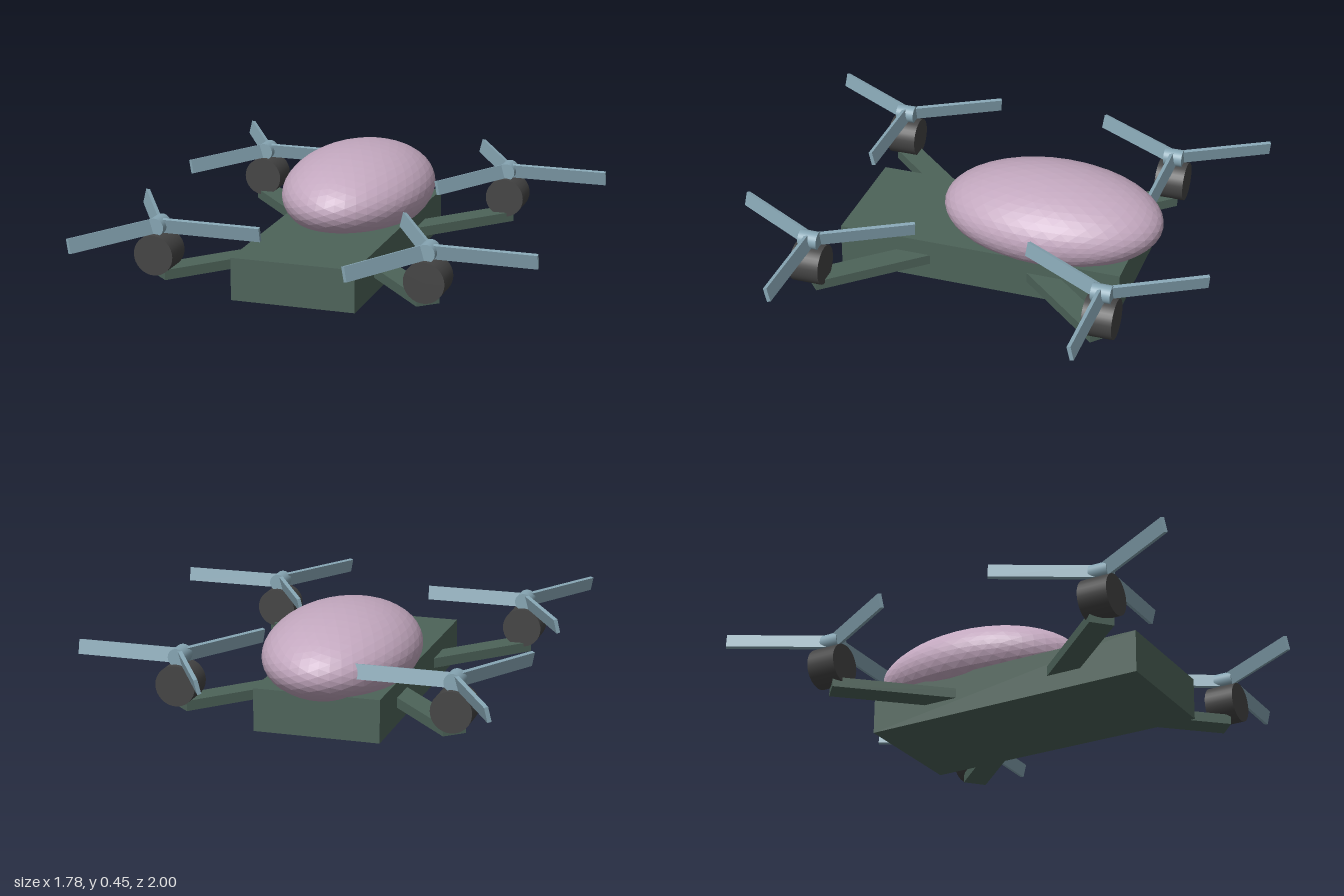
import * as THREE from 'three';

const CX = -0.103;            // centre line of the frame
const ROTOR = { x: 0.561, z: 0.617 };

const frameMat = new THREE.MeshStandardMaterial({ color: 0x4d6359 });
const motorMat = new THREE.MeshStandardMaterial({ color: 0x444444 });
const bladeMat = new THREE.MeshStandardMaterial({ color: 0x86a5b3 });
const canopyMat = new THREE.MeshStandardMaterial({ color: 0xc3a8bf, flatShading: true });

function part(name, geometry, material, x = 0, y = 0, z = 0) {
  const mesh = new THREE.Mesh(geometry, material);
  mesh.name = name;
  mesh.position.set(x, y, z);
  return mesh;
}

// Cylinder lying along z
function barrel(radius, length) {
  return new THREE.CylinderGeometry(radius, radius, length, 32).rotateX(Math.PI / 2);
}

// Hub with three pitched blades
function createPropeller() {
  const propeller = new THREE.Group();
  propeller.name = 'propeller';
  propeller.add(part('hub', barrel(0.037, 0.08), bladeMat));
  const blade = new THREE.BoxGeometry(0.432, 0.06, 0.016).rotateX(0.24).translate(0.216, 0, 0);
  for (let i = 0; i < 3; i++) {
    const mesh = part('blade', blade, bladeMat);
    mesh.rotation.y = (i * Math.PI * 2) / 3;
    propeller.add(mesh);
  }
  return propeller;
}

export function createModel() {
  const drone = new THREE.Group();
  drone.name = 'drone';

  // Flat body and egg-shaped canopy
  drone.add(part('body', new THREE.BoxGeometry(0.52, 0.177, 1.215), frameMat, CX, 0.0885, 0));
  const canopy = part('canopy', new THREE.IcosahedronGeometry(1, 7), canopyMat, CX, 0.265, -0.245);
  canopy.scale.set(0.31, 0.185, 0.468);
  drone.add(canopy);

  // Four arms running out from the body, each with a motor and propeller
  const reach = Math.hypot(ROTOR.x, ROTOR.z);
  const start = 0.2;
  const armGeometry = new THREE.BoxGeometry(reach - start, 0.042, 0.1)
    .translate((reach + start) / 2, 0, 0);
  for (const sx of [-1, 1]) {
    for (const sz of [-1, 1]) {
      const x = CX + sx * ROTOR.x;
      const z = sz * ROTOR.z;
      const arm = part('arm', armGeometry, frameMat, CX, 0.091, 0);
      arm.rotation.y = Math.atan2(-sz * ROTOR.z, sx * ROTOR.x);
      drone.add(arm);
      drone.add(part('motor', barrel(0.083, 0.125), motorMat, x, 0.178, z));
      const propeller = createPropeller();
      propeller.position.set(x, 0.288, z);
      drone.add(propeller);
    }
  }
  return drone;
}
